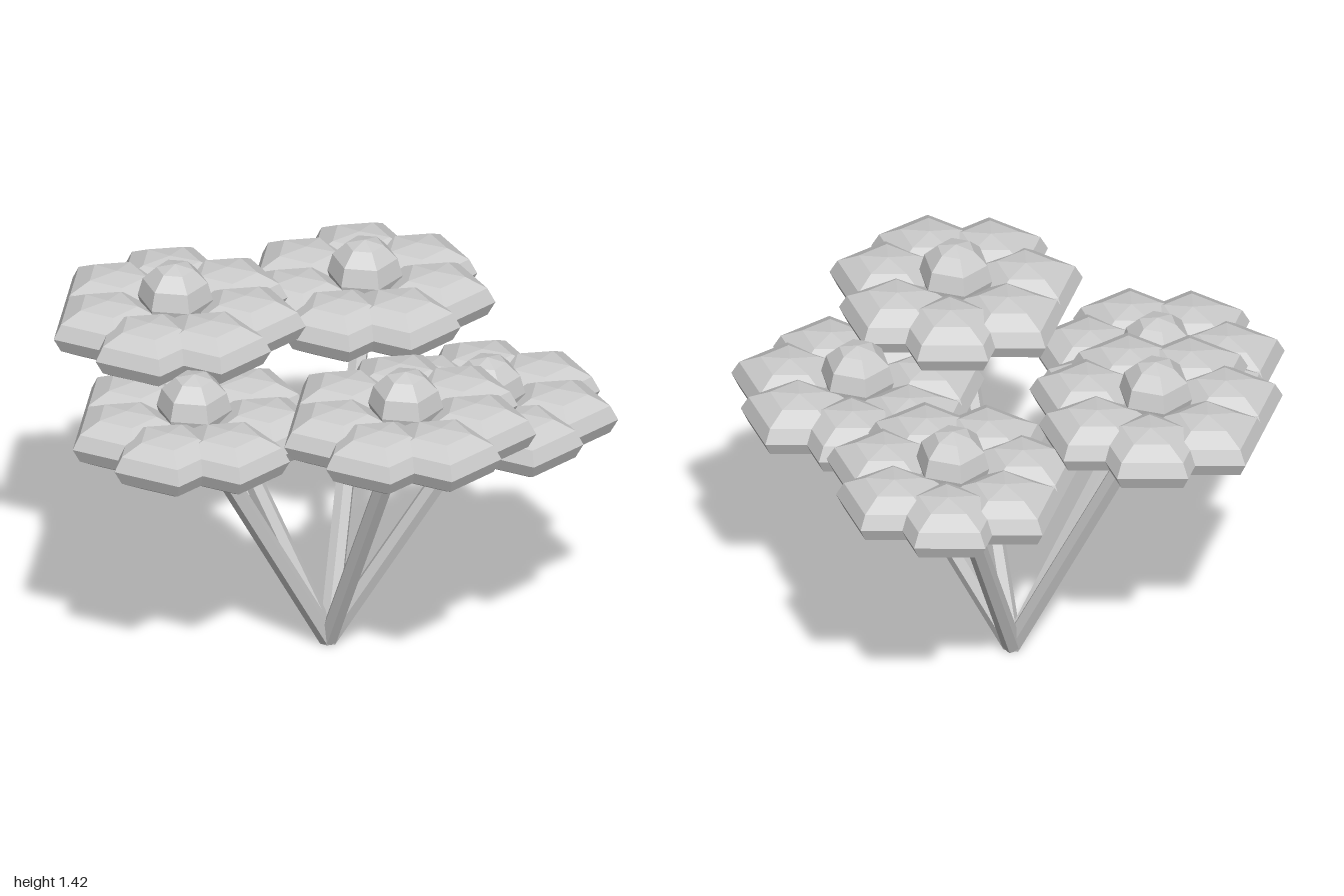
import * as THREE from 'three';

export function createModel() {
  const model = new THREE.Group();
  model.name = 'flowerBunch';
  const paleGrey = new THREE.MeshStandardMaterial({ color: 0xcccccc });
  paleGrey.name = 'paleGrey';
  paleGrey.flatShading = true;

  // Five-sided flattened petal with its point towards +x, and a six-sided button
  const petalGeo = new THREE.SphereGeometry(1, 5, 6).rotateY(Math.PI).scale(0.215, 0.107, 0.2);
  const buttonGeo = new THREE.SphereGeometry(0.134, 6, 6);

  function add(parent, geo, name, x = 0, y = 0, z = 0) {
    const mesh = new THREE.Mesh(geo, paleGrey);
    mesh.name = name;
    mesh.position.set(x, y, z);
    parent.add(mesh);
    return mesh;
  }

  // Seven petals in a ring around a raised button
  const PETALS = 7, RING = 0.25;
  function makeFlower(centre) {
    const flower = new THREE.Group();
    flower.name = 'flower';
    for (let i = 0; i < PETALS; i++) {
      const a = (i / PETALS) * Math.PI * 2;
      add(flower, petalGeo, 'petal', RING * Math.cos(a), 0, RING * Math.sin(a));
    }
    add(flower, buttonGeo, 'flowerCentre', 0, 0.08, 0);
    flower.position.copy(centre);
    return flower;
  }

  // Straight stem between two points
  const up = new THREE.Vector3(0, 1, 0);
  function makeStem(from, to) {
    const dir = to.clone().sub(from);
    const stem = add(model, new THREE.CylinderGeometry(0.035, 0.035, dir.length(), 6), 'stem');
    stem.position.copy(from).addScaledVector(dir, 0.5);
    stem.quaternion.setFromUnitVectors(up, dir.normalize());
  }

  // Flower centres, all fed from one foot
  const foot = new THREE.Vector3(-0.037, 0.014, 0.057);
  const centres = [
    [-0.598, 1.208, -0.048],
    [0.008, 1.098, -0.513],
    [0.53, 0.98, 0.05],
    [0.306, 1.155, 0.504],
    [-0.458, 1.043, 0.436],
  ];
  for (const c of centres) {
    const centre = new THREE.Vector3(...c);
    model.add(makeFlower(centre));
    makeStem(foot, centre);
  }
  return model;
}
